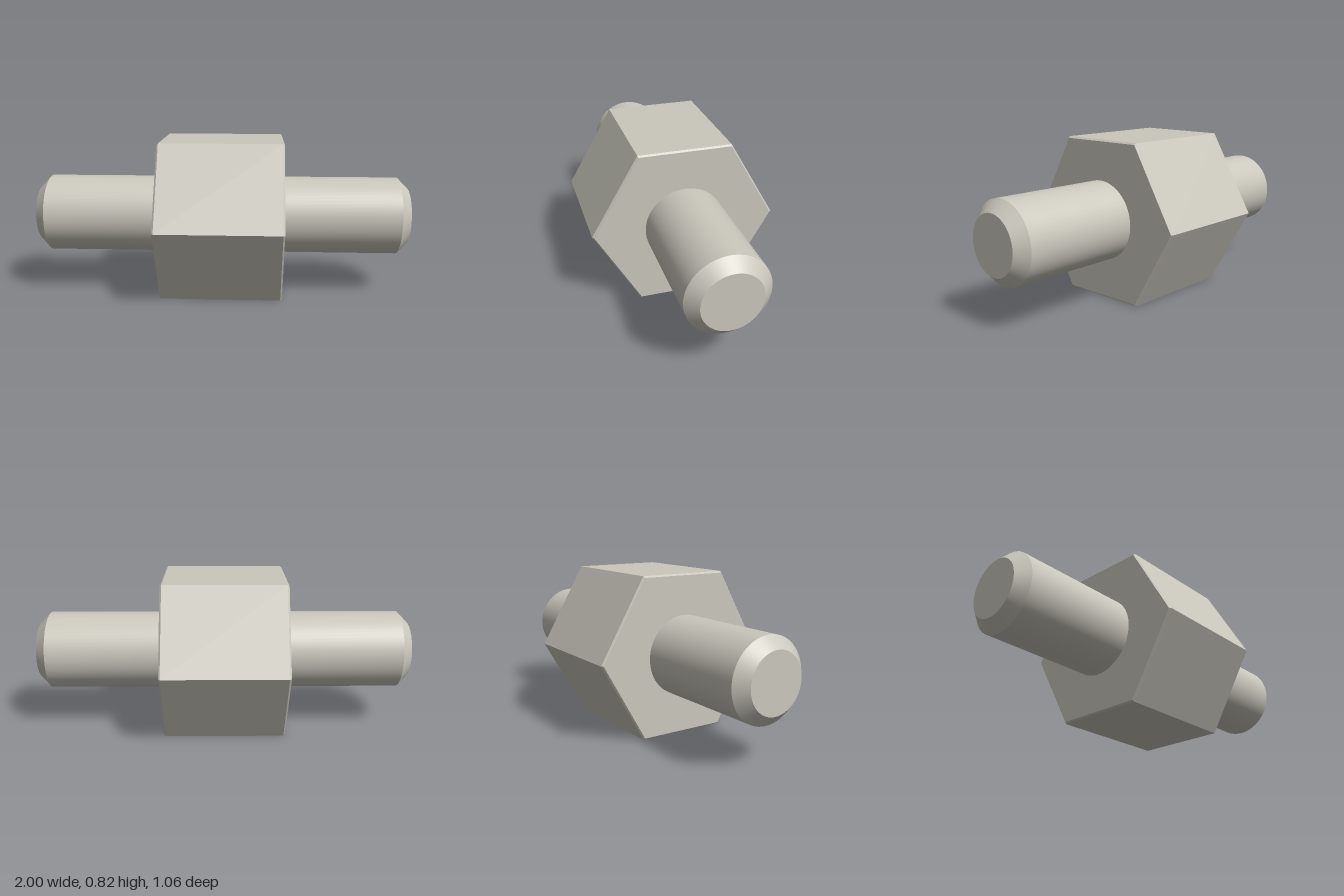
import * as THREE from 'three';
import { toCreasedNormals } from 'three/addons/utils/BufferGeometryUtils.js';

// Solid of revolution about the x axis, sharp at edges; profile is [radius, distance] pairs
function turned(profile, sides) {
  const points = profile.map(([r, d]) => new THREE.Vector2(r, d));
  const geometry = new THREE.LatheGeometry(points, sides);
  geometry.rotateZ(-Math.PI / 2);
  return toCreasedNormals(geometry, 0.4);
}

export function createModel() {
  const metal = new THREE.MeshStandardMaterial({ color: 0xcac7bc });
  metal.name = 'pale metal';

  const model = new THREE.Group();
  model.name = 'hexStandoff';

  const height = 0.823;
  const fitting = new THREE.Group();
  fitting.name = 'fitting';
  fitting.position.y = height / 2;
  fitting.rotation.y = -THREE.MathUtils.degToRad(12);
  model.add(fitting);

  // Hexagonal body with fine chamfers on both end faces
  const corner = height / Math.sqrt(3);
  const half = 0.323;
  const bevel = 0.009;
  const body = new THREE.Mesh(turned([
    [0, -half], [corner - bevel, -half], [corner, -half + bevel],
    [corner, half - bevel], [corner - bevel, half], [0, half],
  ], 6), metal);
  body.name = 'hexBody';
  fitting.add(body);

  // Chamfered round stud on each end
  const studGeometry = turned([[0.205, 0.3], [0.205, 0.934], [0.148, 0.99], [0, 0.99]], 64);
  for (const [name, turn] of [['leftStud', 0], ['rightStud', Math.PI]]) {
    const stud = new THREE.Mesh(studGeometry, metal);
    stud.name = name;
    stud.rotation.y = turn;
    fitting.add(stud);
  }

  return model;
}
